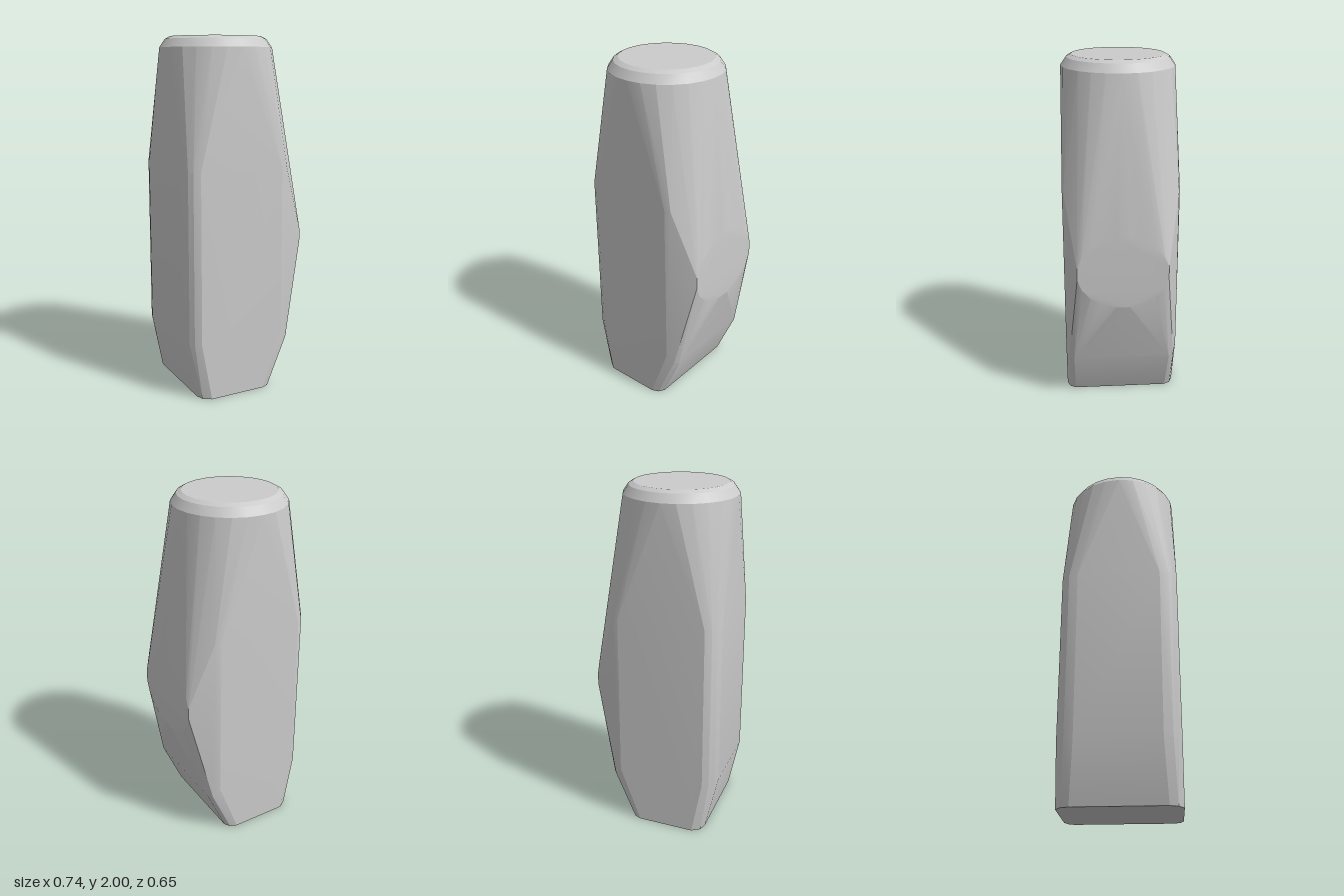
import * as THREE from 'three';
import { ConvexGeometry } from 'three/addons/geometries/ConvexGeometry.js';
import { toCreasedNormals } from 'three/addons/utils/BufferGeometryUtils.js';

// Horizontal circle of points around the axis of the round striking face
function circle(y, r, sides = 24) {
  return Array.from({ length: sides }, (_, i) => {
    const a = (i / sides) * Math.PI * 2;
    return new THREE.Vector3(-0.05 + r * Math.cos(a), y, r * Math.sin(a));
  });
}

// Horizontal section given as [x, z] corners, mirrored front to back
function section(y, corners) {
  return corners.flatMap(([x, z]) => [new THREE.Vector3(x, y, z), new THREE.Vector3(x, y, -z)]);
}

// Flat oval on the +x side
function sidePad(sides = 20) {
  return Array.from({ length: sides }, (_, i) => {
    const a = ((i + 0.5) / sides) * Math.PI * 2;
    return new THREE.Vector3(0.37, 0.87 + 0.21 * Math.sin(a), 0.257 * Math.cos(a));
  });
}

export function createModel() {
  const group = new THREE.Group();
  const material = new THREE.MeshStandardMaterial({ color: 0xcccccc });

  // Rounded edge of the two left corners of the body
  const left = [[-0.37, 0.23], [-0.355, 0.28], [-0.335, 0.305], [-0.3, 0.325]];

  const points = [
    // Round face with a softened rim
    ...circle(2, 0.258),
    ...circle(1.985, 0.285),
    ...circle(1.94, 0.316),
    // Squared body
    ...section(1.29, [...left, [0.2, 0.325], [0.235, 0.316]]),
    ...sidePad(),
    ...section(0.33, [...left, [0.21, 0.325]]),
    ...section(0.28, [[0.27, 0.28], [0.25, 0.308]]),
    // Narrowed foot
    ...section(0, [[-0.3, 0.25], [-0.285, 0.295], [-0.24, 0.325], [0.09, 0.325], [0.13, 0.308], [0.15, 0.275]]),
  ];

  const body = new THREE.Mesh(toCreasedNormals(new ConvexGeometry(points), 0.25), material);
  body.name = 'hammerHead';
  group.add(body);
  return group;
}
